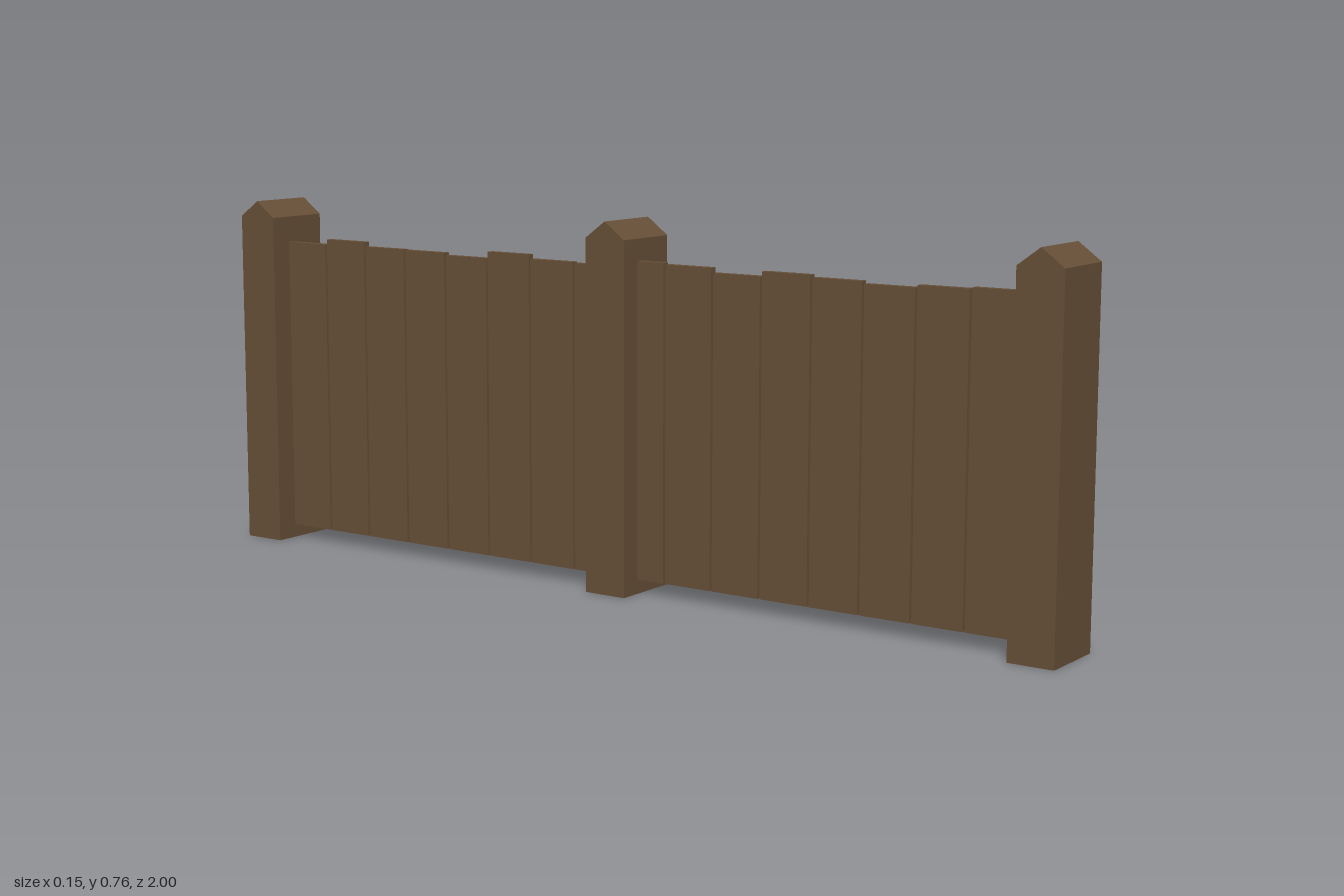
import * as THREE from 'three';

const POST = { w: 0.095, d: 0.15, shoulder: 0.725, peak: 0.76 };
const INNER = 1 - POST.w; // z where the outer posts meet the planks

// Hollow post with a gabled top, open at the foot
function postGeometry() {
  const h = POST.w / 2;
  const profile = new THREE.Shape([
    new THREE.Vector2(-h, 0),
    new THREE.Vector2(h, 0),
    new THREE.Vector2(h, POST.shoulder),
    new THREE.Vector2(0, POST.peak),
    new THREE.Vector2(-h, POST.shoulder),
  ]);
  const solid = new THREE.ExtrudeGeometry(profile, { depth: POST.d, bevelEnabled: false });
  solid.translate(0, 0, -POST.d / 2).rotateY(Math.PI / 2);

  // Drop the triangles of the foot face
  const pos = solid.getAttribute('position');
  const kept = [];
  for (let i = 0; i < pos.count; i += 3) {
    const corners = [i, i + 1, i + 2];
    if (corners.every((c) => pos.getY(c) < 1e-4)) continue;
    corners.forEach((c) => kept.push(pos.getX(c), pos.getY(c), pos.getZ(c)));
  }
  const open = new THREE.BufferGeometry();
  open.setAttribute('position', new THREE.Float32BufferAttribute(kept, 3));
  open.computeVertexNormals();
  return open;
}

export function createModel() {
  const fence = new THREE.Group();
  fence.name = 'fence';
  const wood = new THREE.MeshStandardMaterial({ color: 0x664f37 });
  wood.name = 'brown wood';
  wood.side = THREE.DoubleSide;

  // Box given by its limits on each axis
  function board(name, [x0, x1], [y0, y1], [z0, z1]) {
    const mesh = new THREE.Mesh(new THREE.BoxGeometry(x1 - x0, y1 - y0, z1 - z0), wood);
    mesh.position.set((x0 + x1) / 2, (y0 + y1) / 2, (z0 + z1) / 2);
    mesh.name = name;
    fence.add(mesh);
  }

  // Three posts
  const postShape = postGeometry();
  [1 - POST.w / 2, 0, -1 + POST.w / 2].forEach((z, i) => {
    const post = new THREE.Mesh(postShape, wood);
    post.position.z = z;
    post.name = ['frontPost', 'middlePost', 'backPost'][i];
    fence.add(post);
  });

  // Planks of slightly uneven height, from front to back
  const tops = [0.675, 0.672, 0.667, 0.672, 0.677, 0.667, 0.677, 0.68,
    0.667, 0.669, 0.678, 0.664, 0.669, 0.67, 0.68, 0.669];
  const pitch = (2 * INNER) / tops.length;
  const gap = 0.005;
  tops.forEach((top, i) => {
    const z = INNER - i * pitch;
    board(`plank${i + 1}`, [-0.028, -0.012], [0.03, top], [z - pitch + gap / 2, z - gap / 2]);
  });

  // Two rails on each bay, on the left face of the planks
  const h = POST.w / 2;
  for (const [bay, span] of [['front', [h, INNER]], ['back', [-INNER, -h]]]) {
    board(`${bay}LowerRail`, [-0.012, 0.013], [0.154, 0.214], span);
    board(`${bay}UpperRail`, [-0.012, 0.013], [0.501, 0.561], span);
  }
  return fence;
}
